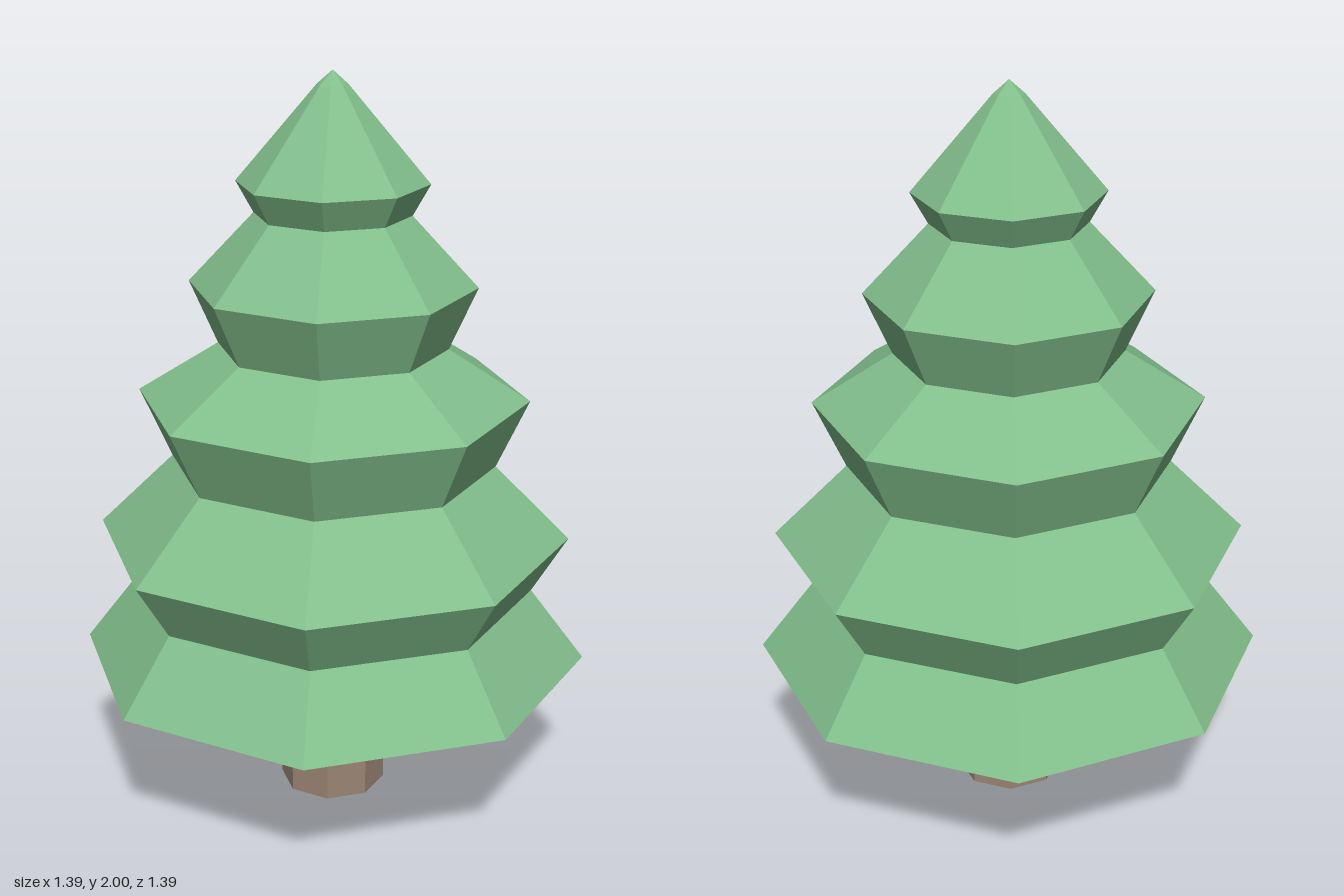
import * as THREE from 'three';

const SIDES = 8;

// Faceted solid of revolution from [radius, height] pairs, listed bottom to top
function facetedLathe(name, profile, color) {
  const points = profile.map(([r, y]) => new THREE.Vector2(r, y));
  const geometry = new THREE.LatheGeometry(points, SIDES).toNonIndexed();
  geometry.computeVertexNormals();
  const material = new THREE.MeshStandardMaterial({ color, flatShading: true });
  const mesh = new THREE.Mesh(geometry, material);
  mesh.name = name;
  return mesh;
}

export function createModel() {
  const tree = new THREE.Group();
  tree.name = 'pineTree';

  // Trunk, reaching just inside the foliage
  const trunk = facetedLathe('trunk', [[0, 0], [0.145, 0], [0.145, 0.37], [0, 0.37]], 0x9a8474);

  // Foliage: hollowed underside, five flared tiers, then a blunted tip
  const tiers = [ // [lower radius, lower y, flare radius, flare y]
    [0.5, 0.32, 0.693, 0.405],
    [0.545, 0.6, 0.64, 0.757],
    [0.438, 0.957, 0.523, 1.143],
    [0.306, 1.28, 0.38, 1.447],
    [0.206, 1.633, 0.252, 1.715],
  ];
  const profile = [[0, 0.376]];
  for (const [r0, y0, r1, y1] of tiers) profile.push([r0, y0], [r1, y1]);
  profile.push([0.04, 1.965], [0, 2]);
  const foliage = facetedLathe('foliage', profile, 0x82bf8c);

  tree.add(trunk, foliage);
  return tree;
}
